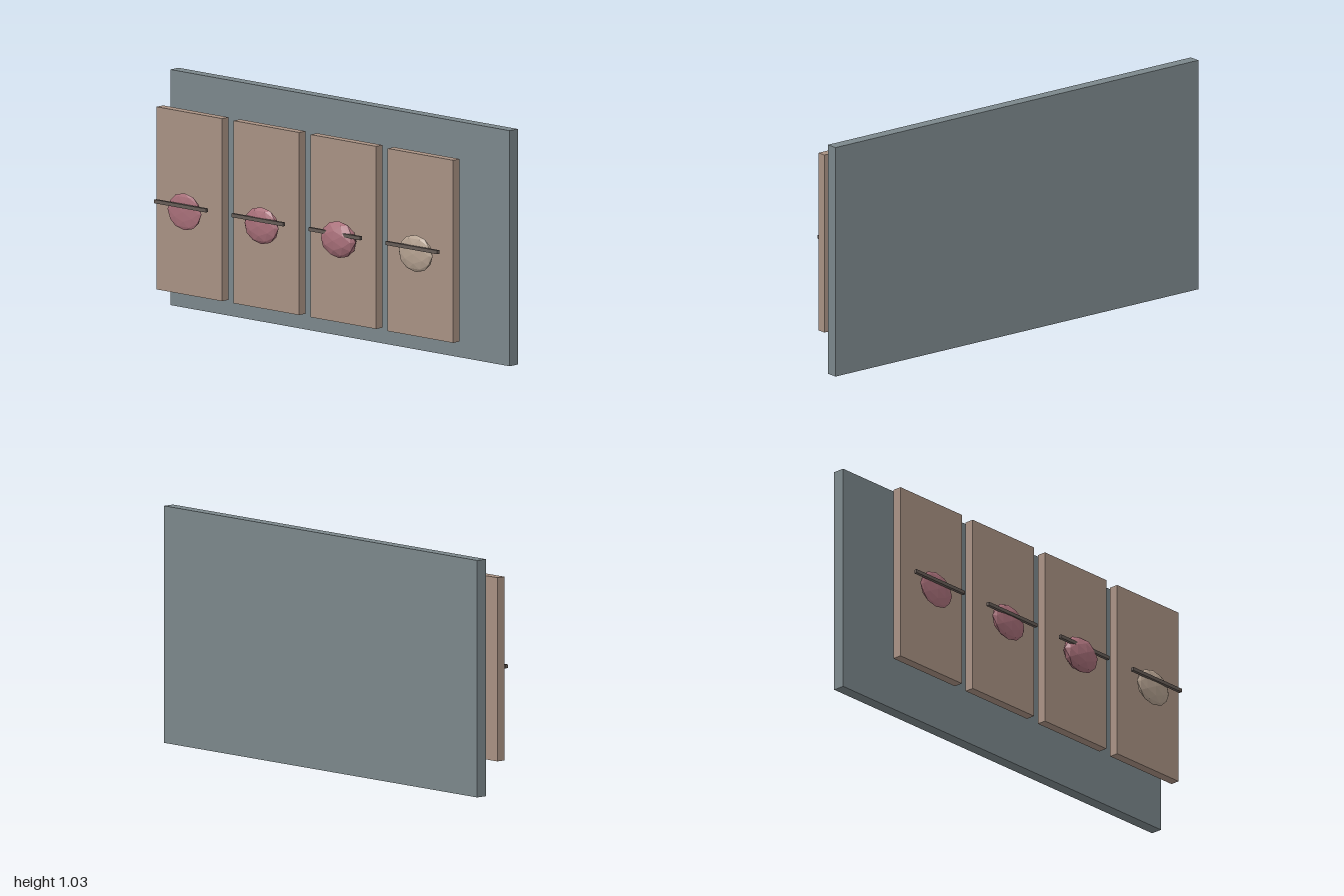
import * as THREE from 'three';

const material = (name, color, flatShading = false) => {
  const m = new THREE.MeshStandardMaterial({ color, flatShading });
  m.name = name;
  return m;
};

export function createModel() {
  const group = new THREE.Group();
  const slate = material('slate', 0x7b878b);
  const tan = material('tan', 0xa89183);
  const rose = material('rose', 0xa9707a, true);
  const beige = material('beige', 0xb5a291, true);
  const darkBrown = material('darkBrown', 0x665c57);

  const add = (name, geometry, mat, x, y, z) => {
    const mesh = new THREE.Mesh(geometry, mat);
    mesh.name = name;
    mesh.position.set(x, y, z);
    group.add(mesh);
    return mesh;
  };

  // Large board at the back
  add('backBoard', new THREE.BoxGeometry(2, 1.032, 0.052), slate, 0, 0.516, -0.145);

  // Four panels, each with a faceted pebble of its own depth and a thin rod
  const panelGeometry = new THREE.BoxGeometry(0.386, 0.8, 0.041);
  const pebbleGeometry = new THREE.IcosahedronGeometry(1, 1);
  const rodGeometry = new THREE.BoxGeometry(0.304, 0.016, 0.014);
  const pebbles = [[0.012, rose], [0.024, rose], [0.039, rose], [0.02, beige]];

  pebbles.forEach(([depth, mat], i) => {
    const x = (i - 1.5) * 0.4545;
    add('panel', panelGeometry, tan, x, 0.517, 0.081);
    add('pebble', pebbleGeometry, mat, x, 0.487, 0.131).scale.set(0.1, 0.081, depth);
    add('rod', rodGeometry, darkBrown, x, 0.516, 0.152);
  });

  return group;
}
